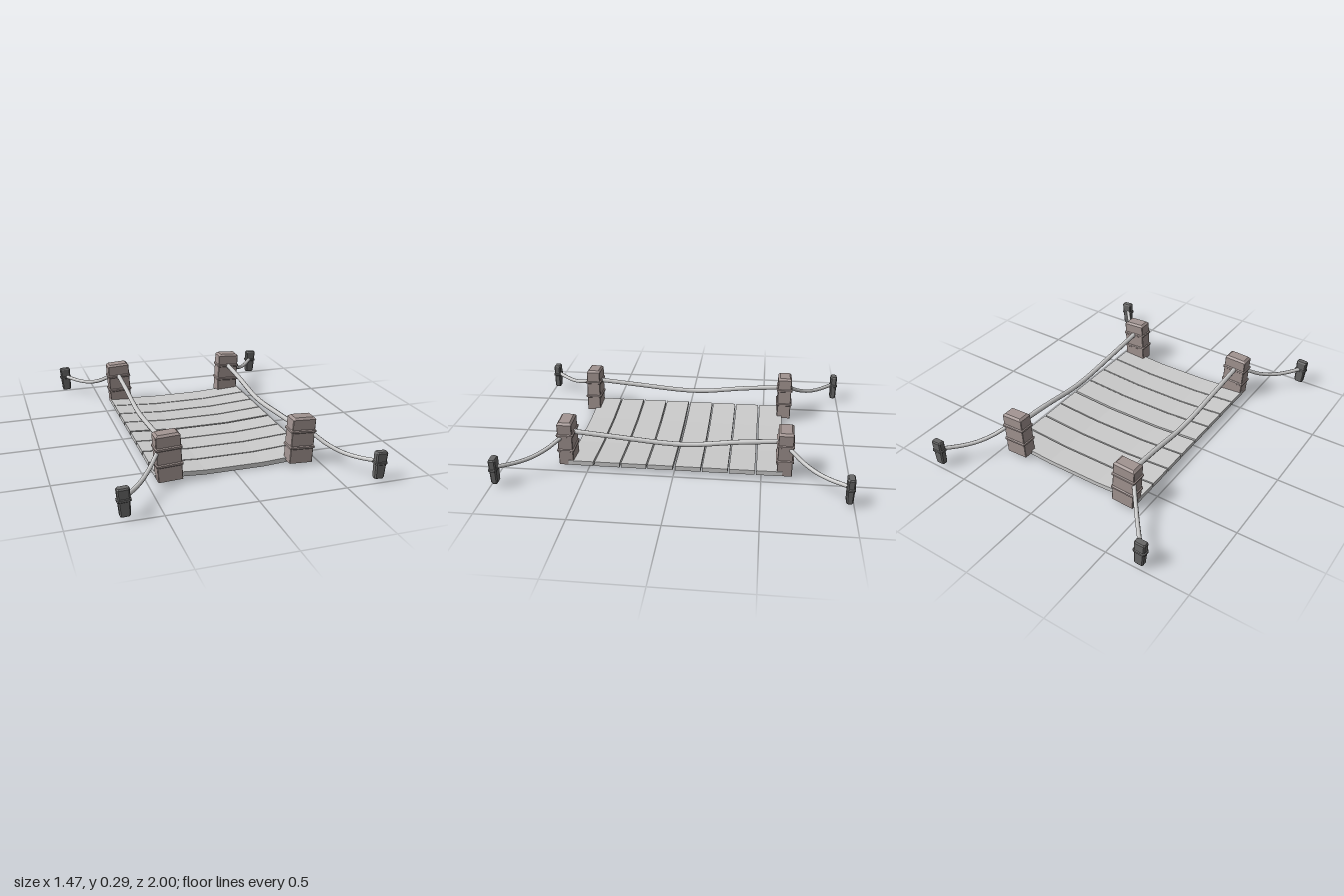
import * as THREE from 'three';

const mat = (color, side = THREE.FrontSide) =>
  new THREE.MeshStandardMaterial({ color, flatShading: true, side });
const plankMat = mat(0xcccccc);
const ropeMat = new THREE.MeshStandardMaterial({ color: 0xcccccc });
const postMat = mat(0xa39592);
const pegMat = mat(0x686868);

// Stacks rectangles with cut corners; each level is [y, half width, half depth].
function loft(levels, cut) {
  const rings = levels.map(([y, w, d]) => [
    [w, d - cut], [w, cut - d], [w - cut, -d], [cut - w, -d],
    [-w, cut - d], [-w, d - cut], [cut - w, d], [w - cut, d],
  ].map(([x, z]) => [x, y, z]));
  const pos = [];
  const tri = (a, b, c) => pos.push(...a, ...b, ...c);
  const last = rings.length - 1;
  const bottom = [0, levels[0][0], 0], top = [0, levels[last][0], 0];
  for (let i = 0; i < 8; i++) {
    const j = (i + 1) % 8;
    for (let k = 0; k < last; k++) {
      tri(rings[k][i], rings[k][j], rings[k + 1][j]);
      tri(rings[k][i], rings[k + 1][j], rings[k + 1][i]);
    }
    tri(bottom, rings[0][j], rings[0][i]);
    tri(top, rings[last][i], rings[last][j]);
  }
  const geo = new THREE.BufferGeometry();
  geo.setAttribute('position', new THREE.Float32BufferAttribute(pos, 3));
  geo.computeVertexNormals();
  return geo;
}

// Thin raised band around a post or peg.
const band = (y, w, d, h, cut) => loft([
  [y - h, w - 0.008, d - 0.006], [y - h / 2, w, d],
  [y + h / 2, w, d], [y + h, w - 0.008, d - 0.006],
], cut);

function add(parent, name, geometry, material) {
  const mesh = new THREE.Mesh(geometry, material);
  mesh.name = name;
  parent.add(mesh);
  return mesh;
}

function rope(parent, name, points, radius) {
  const curve = new THREE.CatmullRomCurve3(points.map((p) => new THREE.Vector3(...p)));
  return add(parent, name, new THREE.TubeGeometry(curve, 20, radius, 8), ropeMat);
}

export function createModel() {
  const model = new THREE.Group();
  model.name = 'plankBridge';

  // Eight sagging planks across the deck
  const bottomLine = [[-0.45, 0.018], [-0.3, 0.008], [-0.17, 0], [0.17, 0], [0.3, 0.008], [0.455, 0.018]];
  const topLine = bottomLine.map(([x, y]) => [x, y + 0.027]).reverse();
  const profile = new THREE.Shape([...bottomLine, ...topLine].map((p) => new THREE.Vector2(...p)));
  const plankGeo = new THREE.ExtrudeGeometry(profile, { depth: 0.147, bevelEnabled: false });
  const deck = new THREE.Group();
  deck.name = 'deck';
  model.add(deck);
  for (let i = 0; i < 8; i++) {
    const gap = i < 4 ? -0.003 : 0.003;
    add(deck, `plank${i + 1}`, plankGeo, plankMat).position.z = (i - 3.5) * 0.155 - 0.0735 + gap;
  }

  // Shared post and peg shapes
  const postGeo = loft([
    [0, 0.069, 0.043], [0.258, 0.069, 0.043], [0.27, 0.056, 0.032],
  ], 0.003);
  const postBands = [0.093, 0.189].map((y) => band(y, 0.075, 0.05, 0.01, 0.005));
  const pegGeo = loft([
    [0, 0.025, 0.015], [0.008, 0.028, 0.019], [0.147, 0.034, 0.021], [0.155, 0.029, 0.016],
  ], 0.007);
  const pegBand = band(0.09, 0.037, 0.024, 0.011, 0.008);

  for (const sx of [-1, 1]) {
    const side = sx > 0 ? 'left' : 'right';

    // Sagging hand rope between the posts
    rope(model, `${side}HandRope`, [
      [sx * 0.39, 0.208, -0.63], [sx * 0.39, 0.187, -0.36], [sx * 0.39, 0.157, -0.1],
      [sx * 0.39, 0.157, 0.04], [sx * 0.39, 0.182, 0.34], [sx * 0.39, 0.208, 0.63],
    ], 0.015);

    for (const sz of [-1, 1]) {
      const corner = `${sz > 0 ? 'front' : 'back'}${sx > 0 ? 'Left' : 'Right'}`;

      // Post leaning slightly outwards
      const post = new THREE.Group();
      post.name = `${corner}Post`;
      post.position.set(sx * 0.379, 0.018, sz * 0.631);
      post.rotation.z = -sx * 0.05;
      add(post, 'postBody', postGeo, postMat);
      postBands.forEach((g) => add(post, 'postBand', g, postMat));
      model.add(post);

      // Ground peg
      const peg = new THREE.Group();
      peg.name = `${corner}Peg`;
      peg.position.set(sx * 0.695, 0.02, sz * 0.974);
      peg.rotation.z = -sx * 0.05;
      add(peg, 'pegBody', pegGeo, pegMat);
      add(peg, 'pegBand', pegBand, pegMat);
      model.add(peg);

      // Anchor rope from post to peg
      rope(model, `${corner}AnchorRope`, [
        [0.41, 0.208, 0.61], [0.45, 0.184, 0.66], [0.5, 0.144, 0.722],
        [0.56, 0.115, 0.797], [0.62, 0.107, 0.872], [0.7, 0.115, 0.972],
      ].map(([x, y, z]) => [sx * x, y, sz * z]), 0.012);
    }
  }
  return model;
}
